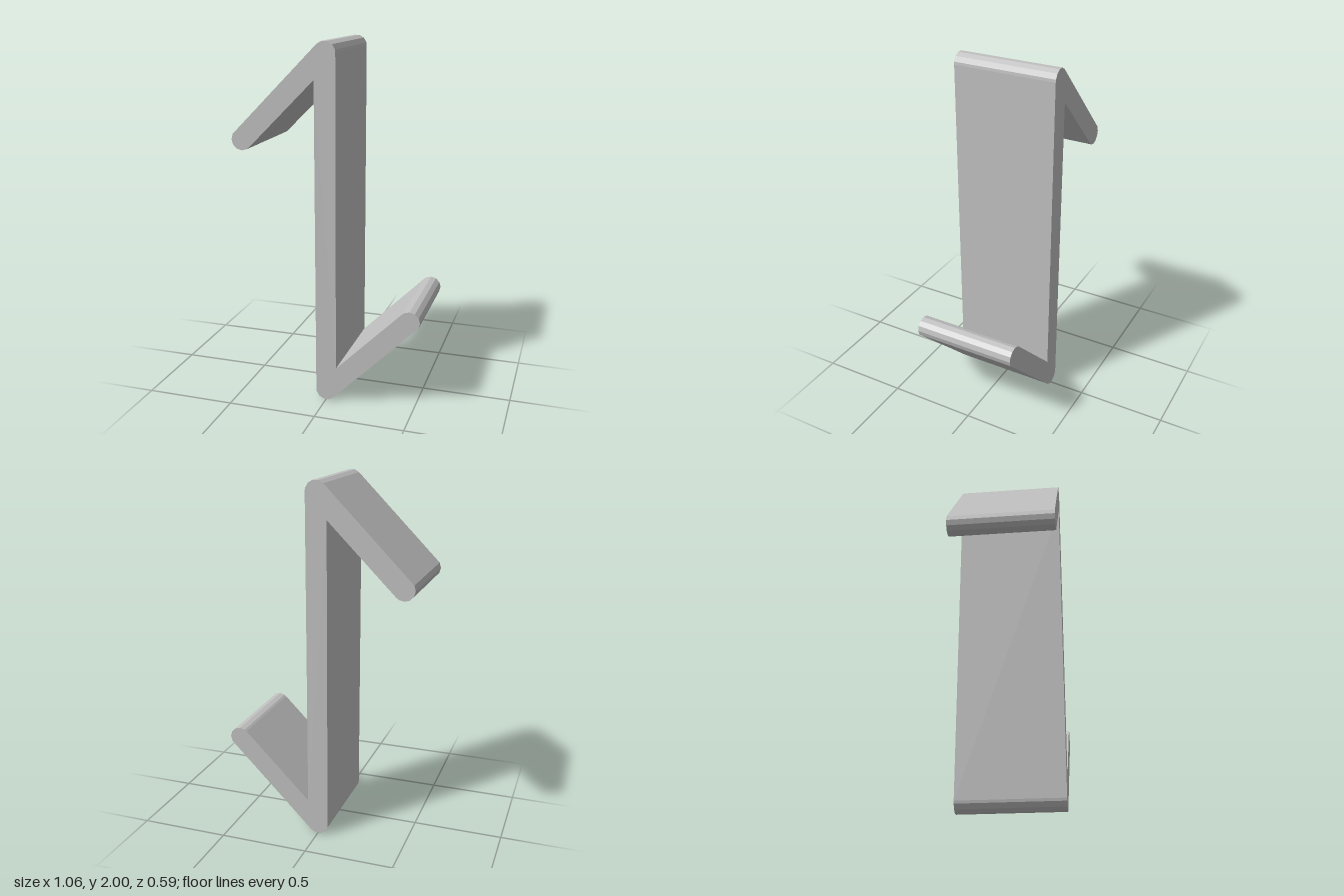
import * as THREE from 'three';

// Z-shaped clip: an upright strip with an arm folded out at each end
export function createModel() {
  const group = new THREE.Group();
  const grey = new THREE.MeshStandardMaterial({ color: 0xc0c0c0 });
  grey.name = 'grey';

  const r = 0.0585;        // half the strip thickness
  const reach = 0.4715;    // sideways reach of each 45 degree arm
  const depth = 0.587;
  const inner = r * (2 + Math.SQRT2); // height of the inner fold

  const arc = (cx, cy, degrees) => degrees.map((d) => {
    const a = THREE.MathUtils.degToRad(d);
    return new THREE.Vector2(cx + r * Math.cos(a), cy + r * Math.sin(a));
  });

  // Lower half of the outline: rounded fold, arm tip, inner corner
  const half = [
    ...arc(0, r, [180, 195, 225, 255, 285, 315]),
    ...arc(reach, r + reach, [-30, 0, 30, 60, 90, 120, 135]),
    new THREE.Vector2(r, inner),
  ];
  // The upper half is the lower half turned by 180 degrees
  const turned = half.map((p) => new THREE.Vector2(-p.x, 2 - p.y));

  const geometry = new THREE.ExtrudeGeometry(new THREE.Shape([...half, ...turned]), {
    depth, bevelEnabled: false,
  });
  geometry.translate(0, 0, -depth / 2);

  const strip = new THREE.Mesh(geometry, grey);
  strip.name = 'foldedStrip';
  group.add(strip);
  return group;
}
